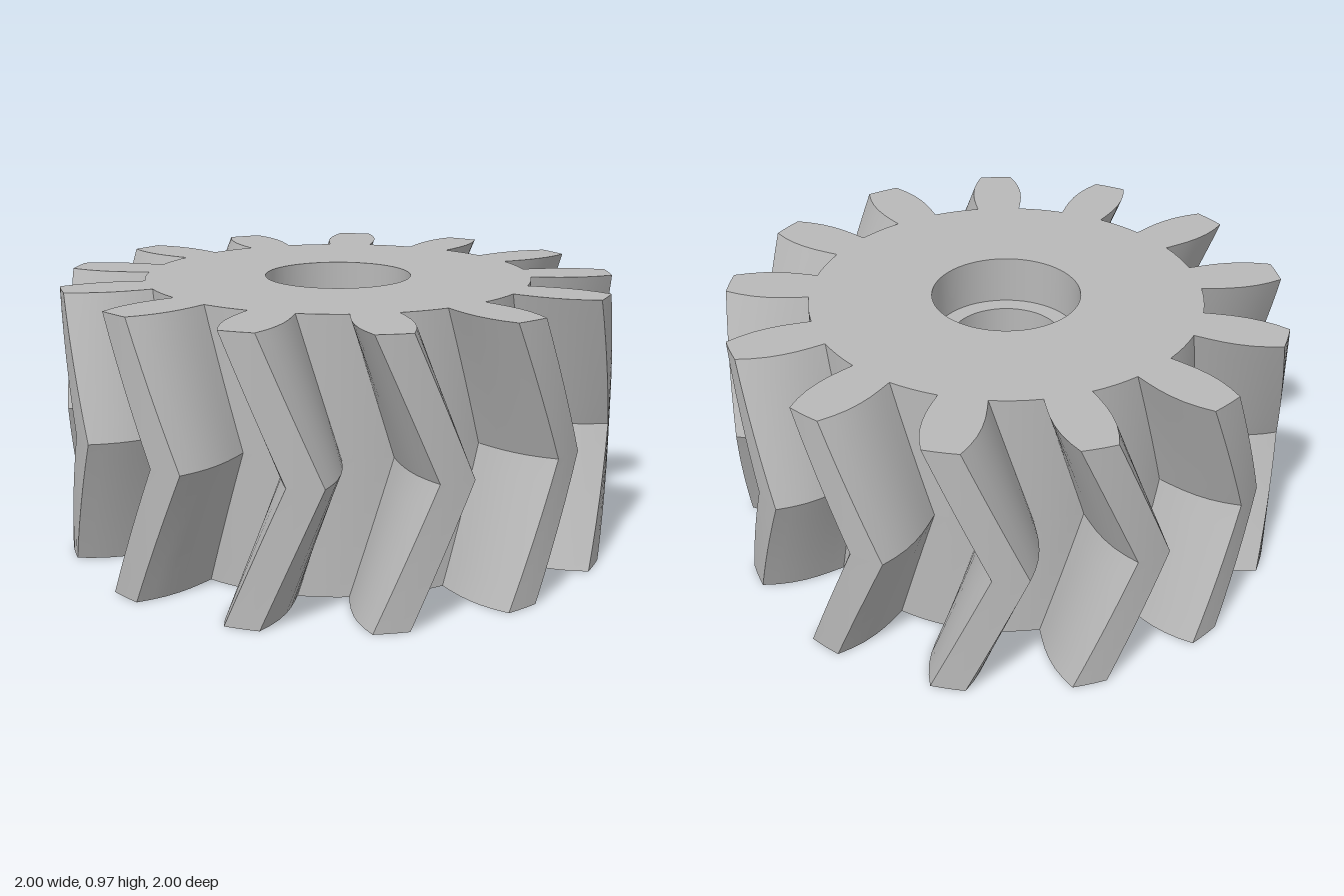
import * as THREE from 'three';
import { mergeGeometries } from 'three/addons/utils/BufferGeometryUtils.js';

const TEETH = 13, HEIGHT = 0.97, MID = HEIGHT / 2;
const ROOT = 0.7, BORE = 0.2, COUNTERBORE = 0.265, RECESS = 0.175;
const DEG = Math.PI / 180;
const PITCH = 360 / TEETH, PHASE = -5.2, TWIST = 12.2, STEPS = 6;

// Tooth flank from root to tip: [radius, half angle in degrees]
const FLANK = [[ROOT, 6.7], [0.75, 6.8], [0.8, 6.75], [0.85, 6.4], [0.9, 5.75], [0.95, 4.75], [1, 3.5]];

// One pitch of the outline as four runs of [radius, angle], in order of rising angle
const left = FLANK.map(([r, a]) => [r, -a]);
const right = FLANK.map(([r, a]) => [r, a]).reverse();
const tip = [-1, -0.33, 0.33, 1].map((t) => [1, 3.5 * t]);
const root = [0, 0.25, 0.5, 0.75, 1].map((t) => [ROOT, 6.7 + t * (PITCH - 13.4)]);

function place([r, a], tooth, twist) {
  const angle = (a + PHASE + tooth * PITCH + twist) * DEG;
  return [r * Math.sin(angle), r * Math.cos(angle)]; // x, z
}

// Sweeps a run upwards through one half of the herringbone
function sweep(run, tooth, upper) {
  const pos = [], index = [], n = run.length;
  for (let j = 0; j <= STEPS; j++) {
    const t = j / STEPS;
    const twist = TWIST * (upper ? 1 - t : t);
    for (const p of run) {
      const [x, z] = place(p, tooth, twist);
      pos.push(x, (upper ? MID : 0) + t * MID, z);
    }
  }
  for (let j = 0; j < STEPS; j++) {
    for (let i = 0; i < n - 1; i++) {
      const a = j * n + i, d = a + n;
      index.push(a, a + 1, d + 1, a, d + 1, d);
    }
  }
  const g = new THREE.BufferGeometry();
  g.setAttribute('position', new THREE.Float32BufferAttribute(pos, 3));
  g.setIndex(index);
  g.computeVertexNormals();
  return g;
}

// Flat toothed face with the bore cut out
function endFace(top) {
  const points = [];
  for (let k = 0; k < TEETH; k++) {
    for (const run of [left, tip, right, root]) {
      for (const p of run.slice(0, -1)) {
        const [x, z] = place(p, k, 0);
        points.push(new THREE.Vector2(x, top ? -z : z));
      }
    }
  }
  const shape = new THREE.Shape(points);
  shape.holes.push(new THREE.Path().absarc(0, 0, COUNTERBORE, 0, Math.PI * 2, true));
  const g = new THREE.ShapeGeometry(shape, 32);
  g.rotateX(top ? -Math.PI / 2 : Math.PI / 2);
  g.translate(0, top ? HEIGHT : 0, 0);
  return g;
}

export function createModel() {
  const gear = new THREE.Group();
  gear.name = 'herringboneGear';
  const grey = new THREE.MeshStandardMaterial({ color: 0xb8b8b8 });
  grey.name = 'grey';
  const add = (name, geometry) => {
    const mesh = new THREE.Mesh(geometry, grey);
    mesh.name = name;
    gear.add(mesh);
  };

  // Teeth and the root surface between them
  const teeth = [], roots = [];
  for (let k = 0; k < TEETH; k++) {
    for (const upper of [false, true]) {
      for (const run of [left, tip, right]) teeth.push(sweep(run, k, upper));
      roots.push(sweep(root, k, upper));
    }
  }
  add('teeth', mergeGeometries(teeth));
  add('rootSurface', mergeGeometries(roots));

  // End faces
  add('topFace', endFace(true));
  add('bottomFace', endFace(false));

  // Bore, recessed at both ends; separate segments keep the edges sharp
  const profile = [
    [COUNTERBORE, HEIGHT], [COUNTERBORE, HEIGHT - RECESS], [BORE, HEIGHT - RECESS],
    [BORE, RECESS], [COUNTERBORE, RECESS], [COUNTERBORE, 0],
  ].map(([r, y]) => new THREE.Vector2(r, y));
  const walls = [];
  for (let i = 0; i < profile.length - 1; i++) {
    walls.push(new THREE.LatheGeometry([profile[i], profile[i + 1]], 64));
  }
  add('bore', mergeGeometries(walls));
  return gear;
}
